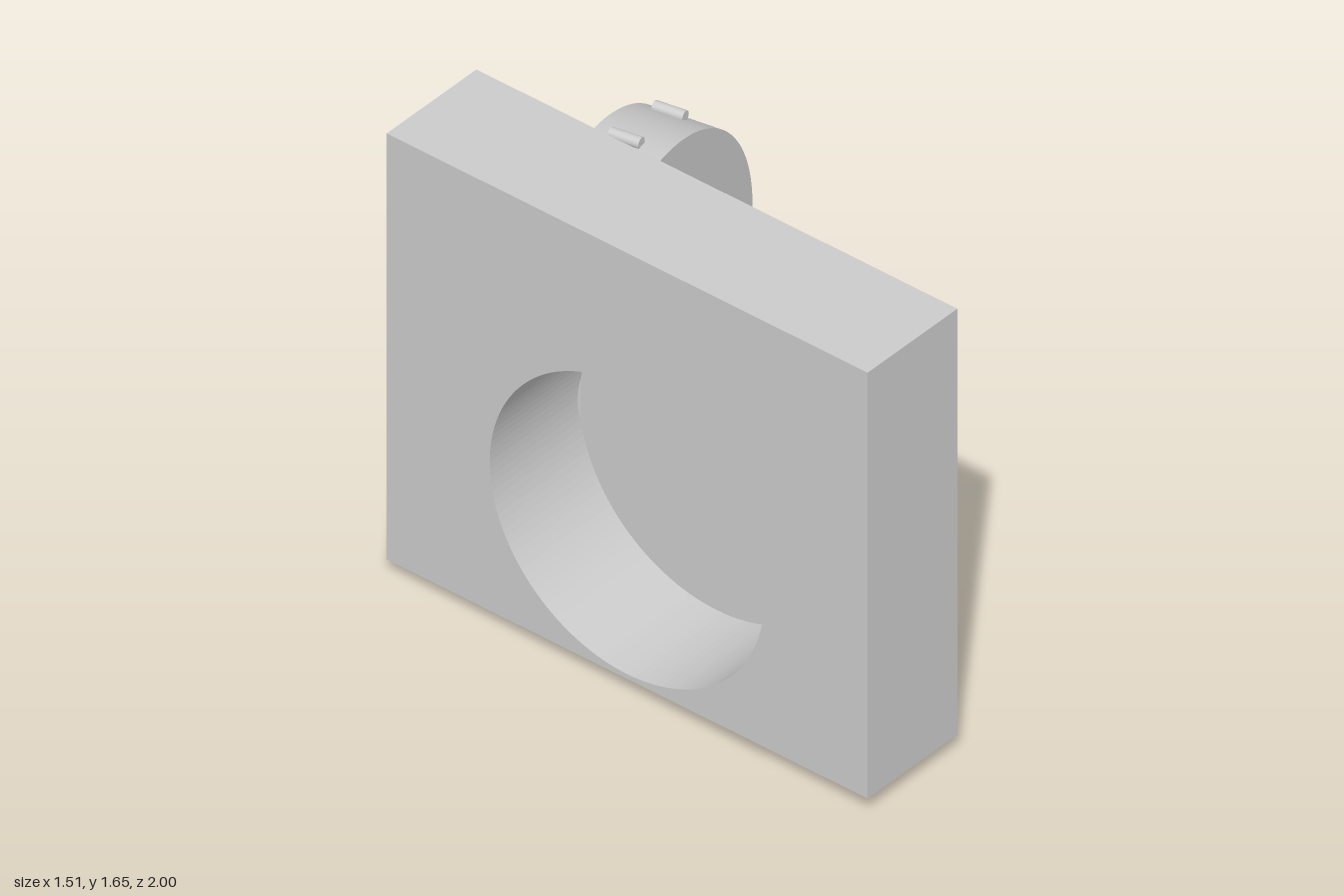
import * as THREE from 'three';

const material = new THREE.MeshStandardMaterial({ color: 0xcccccc });

function add(parent, name, geometry, x = 0, y = 0, z = 0) {
  const mesh = new THREE.Mesh(geometry, material);
  mesh.name = name;
  mesh.position.set(x, y, z);
  parent.add(mesh);
  return mesh;
}

// Cylinder lying along z
const discZ = (r, depth, sides = 64) => new THREE.CylinderGeometry(r, r, depth, sides).rotateX(Math.PI / 2);

function createWall() {
  const wall = new THREE.Group();
  wall.name = 'wall';
  const x0 = -0.76, x1 = -0.34, bottom = 0.06, seam = 1.16, top = 1.65;
  const thick = x1 - x0;

  const block = (name, y0, y1, z0, z1) =>
    add(wall, name, new THREE.BoxGeometry(thick, y1 - y0, z1 - z0), (x0 + x1) / 2, (y0 + y1) / 2, (z0 + z1) / 2);
  block('frontPillar', bottom, top, 0.6, 1);
  block('backPillar', bottom, top, -0.88, -0.48);
  block('lintel', seam, top, -0.48, 0.6);

  // Lower panel with the round opening, drawn in (-z, y) and turned to run along x
  const panel = new THREE.Shape();
  panel.moveTo(-0.6, bottom).lineTo(0.48, bottom).lineTo(0.48, seam).lineTo(-0.6, seam).closePath();
  const bore = new THREE.Path();
  bore.absarc(-0.06, 0.615, 0.537, 0, Math.PI * 2, true);
  panel.holes.push(bore);
  const panelGeometry = new THREE.ExtrudeGeometry(panel, { depth: thick, bevelEnabled: false, curveSegments: 64 });
  panelGeometry.rotateY(Math.PI / 2);
  add(wall, 'borePanel', panelGeometry, x0, 0, 0);

  // Round plate closing the opening
  const cover = new THREE.CylinderGeometry(0.615, 0.615, 0.055, 96).rotateZ(Math.PI / 2);
  add(wall, 'coverDisc', cover, -0.3125, 0.615, 0.06);

  add(wall, 'hingePin', new THREE.CylinderGeometry(0.037, 0.037, 0.89, 32), -0.325, 0.62, -0.505);
  return wall;
}

function createDoor() {
  const door = new THREE.Group();
  door.name = 'door';
  door.position.set(0.2025, 0.62, -0.735);
  door.rotation.y = THREE.MathUtils.degToRad(10);

  add(door, 'doorDrum', discZ(0.52, 0.254, 96));

  // Locking bolts around the rim
  for (let i = 0; i < 12; i++) {
    const a = (i / 12) * Math.PI * 2;
    add(door, 'lockingBolt', discZ(0.02, 0.107, 20), 0.53 * Math.cos(a), 0.53 * Math.sin(a), -0.012);
  }

  // Raised back plate with a small dial
  add(door, 'backPlate', discZ(0.335, 0.026, 72), 0, 0, -0.14);
  add(door, 'dial', discZ(0.05, 0.012, 32), 0, 0.27, -0.158);

  // Spoked handle
  const handle = new THREE.Group();
  handle.name = 'handle';
  door.add(handle);
  add(handle, 'handleFlange', discZ(0.048, 0.025, 32), 0, 0, -0.165);
  add(handle, 'handleShaft', discZ(0.024, 0.09, 24), 0, 0, -0.212);
  for (let i = 0; i < 5; i++) {
    const spoke = new THREE.CylinderGeometry(0.007, 0.007, 0.21, 12).translate(0, 0.105, 0);
    add(handle, 'handleSpoke', spoke, 0, 0, -0.225).rotation.z = (i / 5) * Math.PI * 2;
  }
  return door;
}

export function createModel() {
  const model = new THREE.Group();
  model.name = 'vaultDoor';
  model.add(createWall(), createDoor());
  return model;
}
